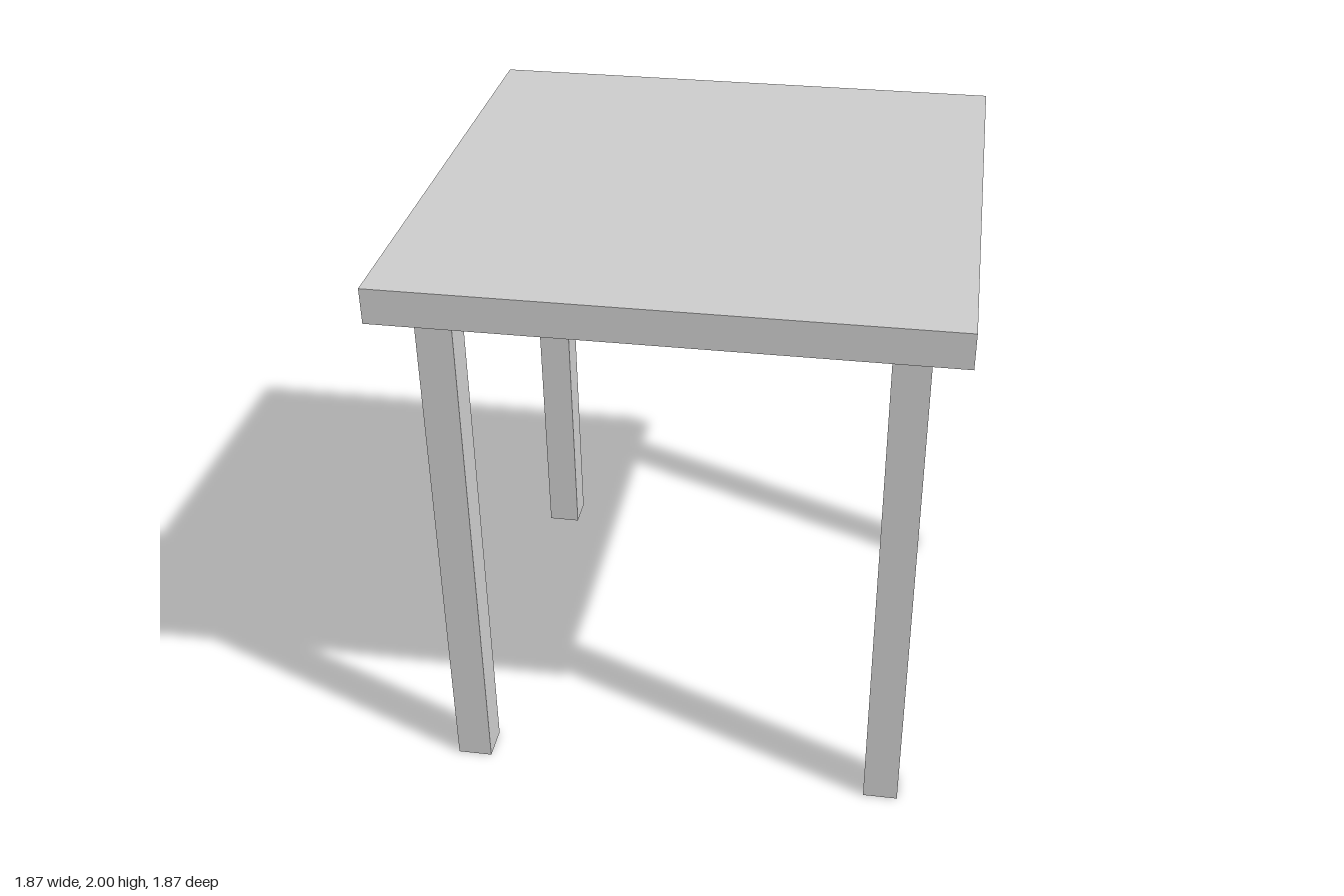
import * as THREE from 'three';

const HEIGHT = 2;
const TOP_WIDTH = 1.868;
const TOP_THICKNESS = 0.122;
const LEG_WIDTH = 0.122;
const LEG_OFFSET = 0.752;

export function createModel() {
  const model = new THREE.Group();
  model.name = 'table';
  const material = new THREE.MeshStandardMaterial({ color: 0xcccccc });

  const addBox = (name, width, height, x, y, z) => {
    const mesh = new THREE.Mesh(new THREE.BoxGeometry(width, height, width), material);
    mesh.name = name;
    mesh.position.set(x, y, z);
    model.add(mesh);
  };

  // Square slab top
  addBox('tableTop', TOP_WIDTH, TOP_THICKNESS, 0, HEIGHT - TOP_THICKNESS / 2, 0);

  // Four square legs, set in from the edges and reaching the underside of the top
  const legHeight = HEIGHT - TOP_THICKNESS;
  for (const [depth, sz] of [['front', 1], ['back', -1]]) {
    for (const [side, sx] of [['Left', 1], ['Right', -1]]) {
      addBox(`${depth}${side}Leg`, LEG_WIDTH, legHeight, sx * LEG_OFFSET, legHeight / 2, sz * LEG_OFFSET);
    }
  }

  return model;
}
